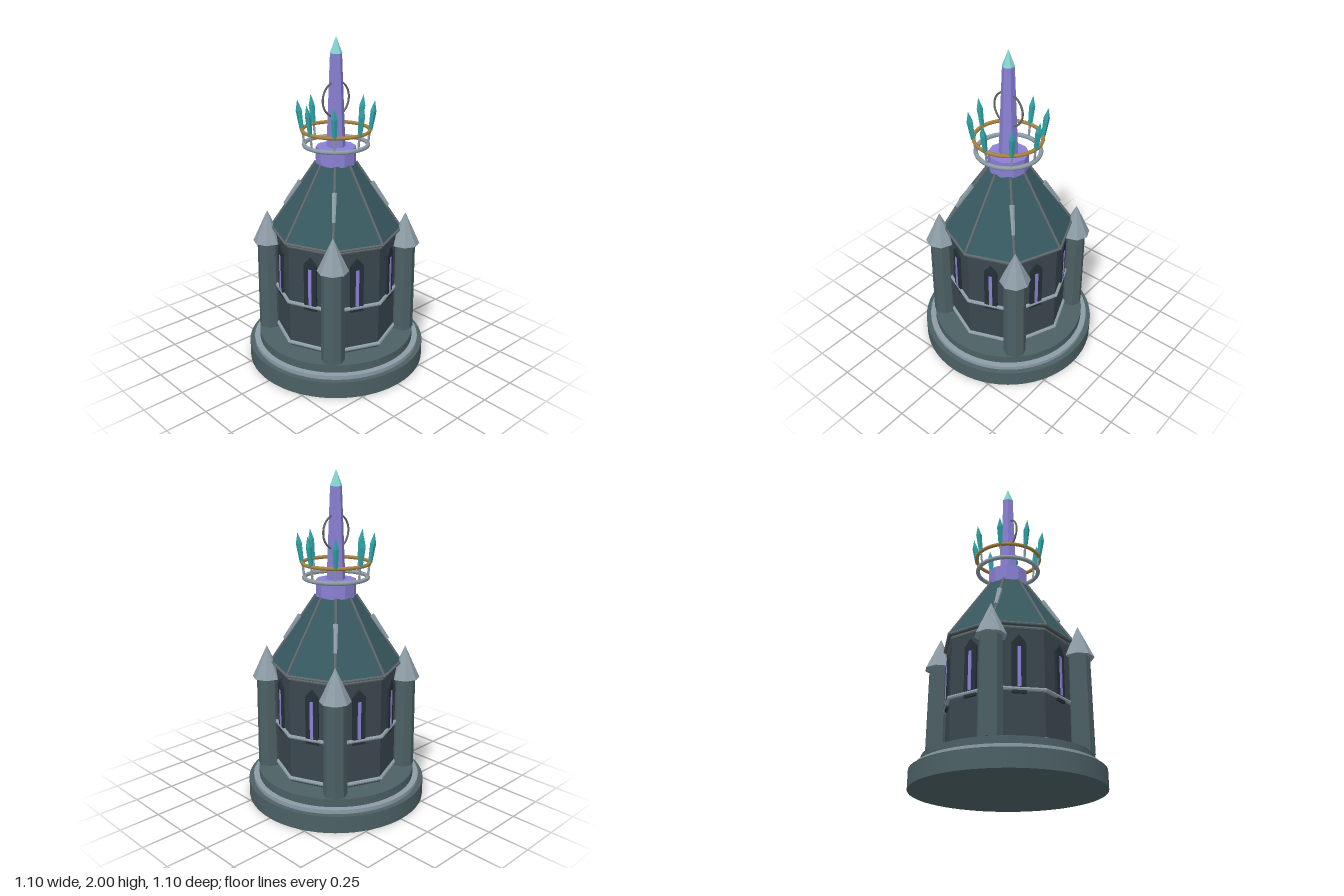
import * as THREE from 'three';

const mat = (color, flatShading = true) =>
  new THREE.MeshStandardMaterial({ color, flatShading, roughness: 0.8 });

export function createModel() {
  const root = new THREE.Group();
  const stone = mat(0x4c6064), wall = mat(0x3a474e), trim = mat(0x8d9ca6), roofMat = mat(0x37585f);
  const violet = mat(0x8a80d4), cyan = mat(0x2fa3a6), paleCyan = mat(0x86d8d2);
  const gold = mat(0xa8823f, false), steel = mat(0x60686d), dark = mat(0x253037);
  const stoneSmooth = mat(0x4c6064, false), trimSmooth = mat(0x8d9ca6, false), steelSmooth = mat(0x60686d, false);

  const add = (name, geo, material, parent = root) => {
    const m = new THREE.Mesh(geo, material);
    m.name = name;
    parent.add(m);
    return m;
  };
  // upright prism or cone between two heights
  const drum = (name, rTop, rBottom, y0, y1, sides, material, parent = root) => {
    const m = add(name, new THREE.CylinderGeometry(rTop, rBottom, y1 - y0, sides), material, parent);
    m.position.y = (y0 + y1) / 2;
    return m;
  };
  // horizontal hoop
  const hoop = (name, r, tube, y, sides, material) => {
    const m = add(name, new THREE.TorusGeometry(r, tube, 8, sides), material);
    m.rotation.x = Math.PI / 2;
    m.position.y = y;
    return m;
  };
  // straight rod between two points
  const rod = (name, a, b, rA, rB, material, parent, sides = 6) => {
    const dir = b.clone().sub(a);
    const m = add(name, new THREE.CylinderGeometry(rB, rA, dir.length(), sides), material, parent);
    m.position.copy(a).add(b).multiplyScalar(0.5);
    m.quaternion.setFromUnitVectors(new THREE.Vector3(0, 1, 0), dir.normalize());
    return m;
  };
  // group turned to face outward at an angle around the axis
  const spoke = (name, angle) => {
    const g = new THREE.Group();
    g.name = name;
    g.rotation.y = angle;
    root.add(g);
    return g;
  };
  const V = (y, z) => new THREE.Vector3(0, y, z);

  // stepped round base
  drum('baseLower', 0.55, 0.55, 0, 0.105, 64, stoneSmooth);
  drum('baseTrim', 0.52, 0.52, 0.105, 0.13, 64, trimSmooth);
  drum('baseUpper', 0.485, 0.485, 0.13, 0.18, 64, stoneSmooth);

  // octagonal hall with its bands
  drum('hall', 0.375, 0.375, 0.18, 0.85, 8, wall);
  hoop('lowerBand', 0.382, 0.012, 0.205, 8, trim);
  hoop('middleBand', 0.382, 0.012, 0.475, 8, trim);
  hoop('upperBand', 0.376, 0.01, 0.835, 8, steel);

  // roof
  drum('roof', 0.12, 0.4, 0.85, 1.27, 8, roofMat);
  hoop('eave', 0.397, 0.008, 0.855, 8, steel);

  // pointed window outline
  const arch = new THREE.Shape();
  arch.moveTo(-0.04, 0.45);
  arch.lineTo(0.04, 0.45);
  arch.lineTo(0.04, 0.745);
  arch.lineTo(0, 0.79);
  arch.lineTo(-0.04, 0.745);
  arch.closePath();
  const archGeo = new THREE.ExtrudeGeometry(arch, { depth: 0.02, bevelEnabled: false });
  const slitGeo = new THREE.BoxGeometry(0.02, 0.23, 0.01);

  // crystal shard profile
  const shardGeo = new THREE.LatheGeometry(
    [[0, 0], [0.013, 0], [0.019, 0.115], [0, 0.18]].map(p => new THREE.Vector2(...p)), 5);

  for (let i = 0; i < 8; i++) {
    const angle = i * Math.PI / 4;

    // window in the middle of each wall
    const win = spoke('window', angle + Math.PI / 8);
    add('windowFrame', archGeo, dark, win).position.z = 0.34;
    add('windowSlit', slitGeo, violet, win).position.set(0, 0.602, 0.359);

    // roof rib, with a thicker spine on the diagonals
    const rib = spoke('roofRib', angle);
    rod('rib', V(0.852, 0.4), V(1.272, 0.12), 0.008, 0.008, steel, rib);
    if (i % 2) rod('ribSpine', V(1.0, 0.311), V(1.145, 0.214), 0.011, 0.016, trim, rib);

    // crown post and outward-leaning shard
    const crown = spoke('crownPart', angle);
    rod('crownPost', V(1.375, 0.187), V(1.465, 0.197), 0.007, 0.007, trim, crown);
    const shard = add('crownShard', shardGeo, cyan, crown);
    shard.position.set(0, 1.462, 0.199);
    shard.rotation.x = 0.14;
  }

  // corner turrets on the diagonals
  for (let i = 0; i < 4; i++) {
    const turret = new THREE.Group();
    turret.name = 'turret';
    turret.position.set(i % 2 ? 0.297 : -0.297, 0, i < 2 ? 0.297 : -0.297);
    root.add(turret);
    drum('turretShaft', 0.066, 0.07, 0.18, 0.755, 8, stone, turret);
    drum('turretCap', 0, 0.092, 0.755, 0.955, 8, trim, turret);
  }

  // neck and spire
  drum('neck', 0.12, 0.12, 1.265, 1.365, 10, violet).rotation.y = Math.PI / 2;
  drum('spire', 0.035, 0.057, 1.365, 1.905, 6, violet);
  drum('spireTip', 0, 0.037, 1.905, 2, 6, paleCyan);

  // crown rings and the upright ring around the spire
  hoop('crownLowerRing', 0.188, 0.013, 1.377, 48, trimSmooth);
  hoop('crownGoldRing', 0.198, 0.011, 1.463, 48, gold);
  add('spireRing', new THREE.TorusGeometry(0.102, 0.006, 8, 48), steelSmooth).position.y = 1.645;

  return root;
}
